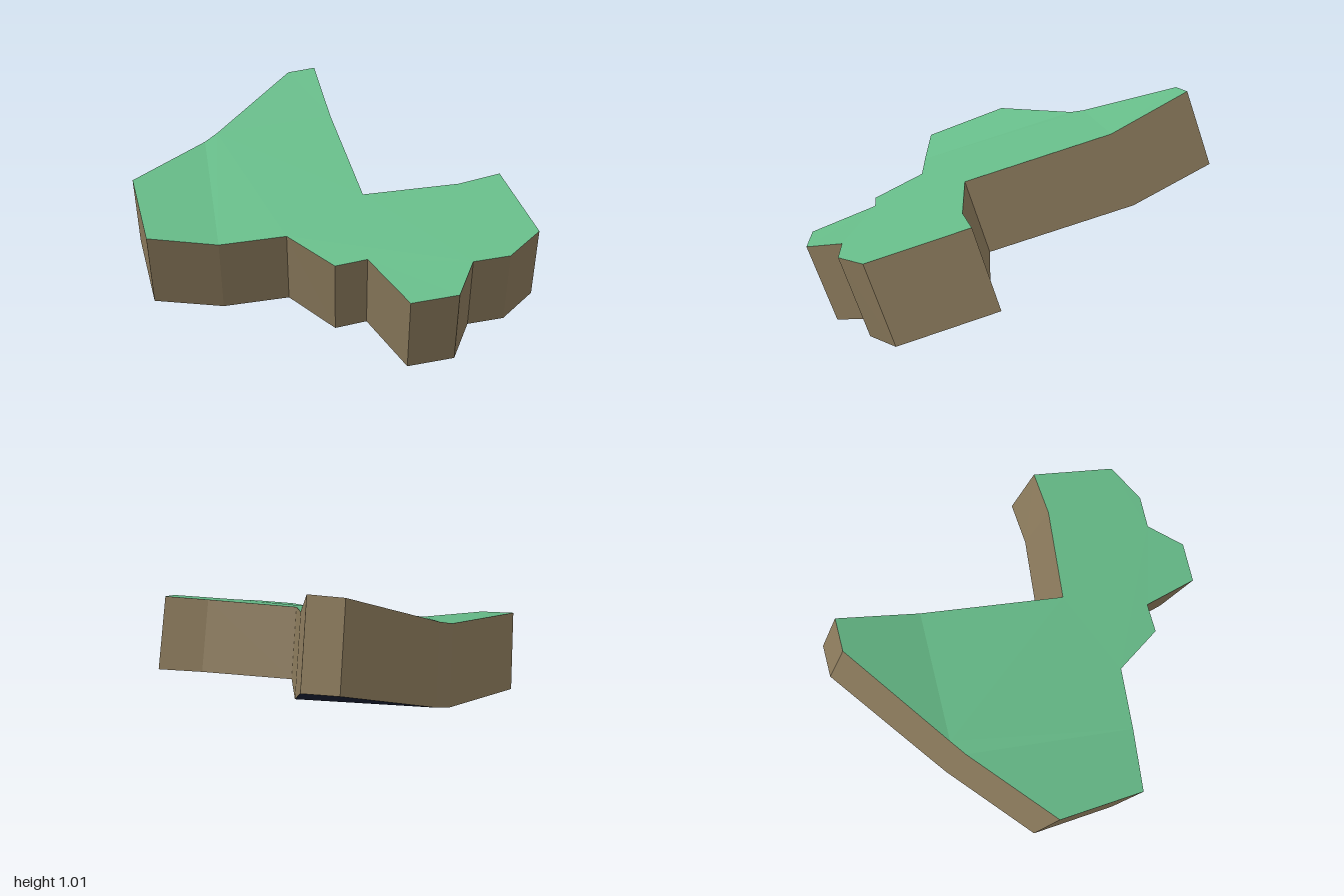
import * as THREE from 'three';

// Upper rim of the slab, counterclockwise from above: x, y, z
const rim = [
  [-0.95, 0.65, -0.03], [-0.885, 0.51, 0.41], [-0.56, 0.47, 0.447], [-0.245, 0.497, 0.462],
  [-0.063, 0.44, 0.705], [0.087, 0.457, 0.697], [0.203, 0.38, 1.0], [0.417, 0.4, 1.0],
  [0.537, 0.465, 0.82], [0.71, 0.48, 0.82], [0.895, 0.536, 0.697], [0.87, 0.67, 0.245],
  [0.645, 0.639, 0.275], [0.166, 0.602, 0.245], [0.14, 0.819, -0.485], [0.113, 1.02, -0.863],
  [-0.045, 1.0, -0.853], [-0.5, 0.755, -0.46], [-0.57, 0.726, -0.4],
].map((p) => new THREE.Vector3(...p));

// Lower rim: the upper one pushed down along the tilted slab's thickness
const lower = rim.map((p) => new THREE.Vector3(
  p.x + 0.028 + 0.018 * p.x,
  p.y - 0.375,
  p.z - 0.118 + Math.min(0, (p.z + 0.2) * 0.028),
));

// The surface folds along two lines: raised left flap, level middle, raised back flap
const panels = [
  [0, 1, 2, 18],
  [2, 3, 4, 5, 6, 7, 8, 9, 10, 11, 12, 13, 14, 17, 18],
  [14, 15, 16, 17],
];

function meshFrom(name, points, material) {
  const geometry = new THREE.BufferGeometry().setFromPoints(points);
  geometry.computeVertexNormals();
  const mesh = new THREE.Mesh(geometry, material);
  mesh.name = name;
  return mesh;
}

function capPoints(points, flip) {
  const out = [];
  for (const panel of panels) {
    const contour = panel.map((i) => new THREE.Vector2(points[i].x, -points[i].z));
    for (const [a, b, c] of THREE.ShapeUtils.triangulateShape(contour, [])) {
      const order = flip ? [a, c, b] : [a, b, c];
      out.push(...order.map((i) => points[panel[i]]));
    }
  }
  return out;
}

export function createModel() {
  const material = (name, color) => {
    const m = new THREE.MeshStandardMaterial({ color });
    m.name = name;
    return m;
  };
  const group = new THREE.Group();
  group.name = 'tiltedSlab';

  // Wall strip around the outline
  const wall = [];
  rim.forEach((a, i) => {
    const j = (i + 1) % rim.length;
    wall.push(a, lower[i], lower[j], a, lower[j], rim[j]);
  });

  group.add(
    meshFrom('topSurface', capPoints(rim, false), material('green', 0x66bb88)),
    meshFrom('sideWall', wall, material('tan', 0x8b7a5c)),
    meshFrom('underside', capPoints(lower, true), material('navy', 0x1a2035)),
  );
  return group;
}
